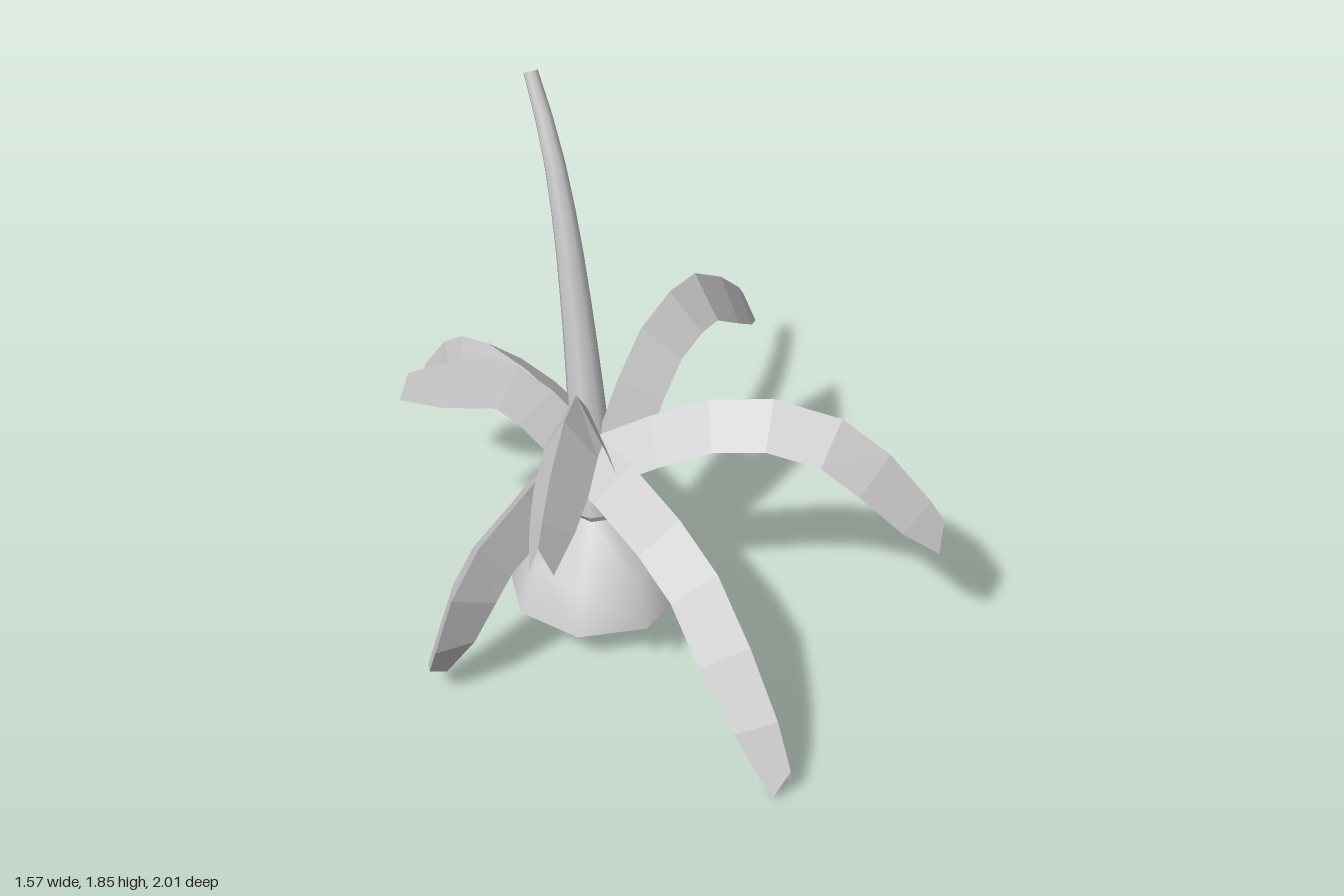
import * as THREE from 'three';

const smooth = new THREE.MeshStandardMaterial({ color: 0xcccccc, side: THREE.DoubleSide });
const faceted = new THREE.MeshStandardMaterial({ color: 0xcccccc, side: THREE.DoubleSide, flatShading: true });
const crown = new THREE.Vector3(-0.06, 0.735, -0.09); // where all leaves meet

// Roof-shaped leaf: midrib given as [distance from crown, height, optional sideways sway],
// dropA / dropB are the angles (degrees) by which the two halves fold down.
function leafGeometry({ dir, rib, dropA, dropB, width = 0.175 }) {
  const out = new THREE.Vector3(dir[0], 0, dir[1]).normalize();
  const side = new THREE.Vector3(out.z, 0, -out.x);
  const points = rib.map(([r, y, sway = 0]) =>
    new THREE.Vector3(crown.x, y, crown.z).addScaledVector(out, r).addScaledVector(side, sway));
  const last = points.length - 1;
  const positions = [];
  const index = [];
  points.forEach((p, i) => {
    const tangent = points[Math.min(i + 1, last)].clone().sub(points[Math.max(i - 1, 0)]).normalize();
    const normal = tangent.clone().cross(side).normalize();
    // narrow towards a notched tip
    const w = width * (i === last ? 0.45 : i === last - 1 ? 0.83 : 1);
    const edge = (sign, drop) => {
      const a = THREE.MathUtils.degToRad(drop);
      return p.clone()
        .addScaledVector(side, sign * w * Math.cos(a))
        .addScaledVector(normal, -w * Math.sin(a))
        .addScaledVector(tangent, i === last ? 0.075 : 0);
    };
    for (const v of [edge(-1, dropB), p, edge(1, dropA)]) positions.push(v.x, v.y, v.z);
    if (i < last) {
      for (let k = 0; k < 2; k++) {
        const a = i * 3 + k;
        index.push(a, a + 1, a + 4, a, a + 4, a + 3);
      }
    }
  });
  const g = new THREE.BufferGeometry();
  g.setAttribute('position', new THREE.Float32BufferAttribute(positions, 3));
  g.setIndex(index);
  g.computeVertexNormals();
  return g;
}

const leaves = [
  { name: 'frontLeaf', dir: [0, 1], dropA: 70, dropB: 38,
    rib: [[0, 0.74], [0.2, 0.735], [0.47, 0.69], [0.68, 0.61], [0.86, 0.44], [1.015, 0.25], [1.09, 0.1]] },
  { name: 'frontLeftLeaf', dir: [0.717, 0.697], dropA: 68, dropB: 42,
    rib: [[0, 0.73], [0.17, 0.83], [0.36, 0.92], [0.57, 0.95], [0.79, 0.9], [0.95, 0.78], [1.09, 0.61], [1.135, 0.54]] },
  { name: 'frontRightLeaf', dir: [-0.727, 0.687], dropA: 56, dropB: 64,
    rib: [[0, 0.73], [0.13, 0.93], [0.275, 1.085], [0.43, 1.095], [0.605, 1.02], [0.72, 0.92], [0.765, 0.86]] },
  { name: 'backLeftLeaf', dir: [0.918, -0.397], dropA: 72, dropB: 47,
    rib: [[0, 0.73], [0.12, 0.88], [0.26, 1.0], [0.435, 1.045], [0.59, 1.03], [0.76, 0.92], [0.88, 0.81], [0.91, 0.77]] },
  { name: 'backLeaf', dir: [-0.134, -0.991], dropA: 70, dropB: 42,
    rib: [[0, 0.73], [0.2, 0.77], [0.36, 0.8], [0.56, 0.8], [0.7, 0.755], [0.8, 0.68], [0.88, 0.57], [0.915, 0.525]] },
  { name: 'backRightLeaf', dir: [-0.6, -0.8], dropA: 76, dropB: 42,
    rib: [[0, 0.73], [0.15, 0.87], [0.27, 0.94], [0.36, 0.95], [0.45, 0.93], [0.59, 0.86], [0.66, 0.82]] },
  { name: 'rightLeaf', dir: [-0.97, 0.24], dropA: 75, dropB: 50,
    rib: [[0, 0.74], [0.22, 0.735], [0.354, 0.7, 0.015], [0.56, 0.6, 0.01], [0.68, 0.45], [0.733, 0.25, -0.03], [0.72, 0.14, -0.075]] },
];

// Curved stem that thins towards its top
function stemGeometry(curve, rBottom, rTop, rows, sides) {
  const g = new THREE.TubeGeometry(curve, rows, 1, sides, false);
  const pos = g.attributes.position;
  const v = new THREE.Vector3();
  for (let i = 0; i < pos.count; i++) {
    const t = Math.floor(i / (sides + 1)) / rows;
    const c = curve.getPointAt(t);
    v.fromBufferAttribute(pos, i).sub(c).multiplyScalar(THREE.MathUtils.lerp(rBottom, rTop, t)).add(c);
    pos.setXYZ(i, v.x, v.y, v.z);
  }
  return g;
}

export function createModel() {
  const group = new THREE.Group();
  const add = (name, geometry, material) => {
    const mesh = new THREE.Mesh(geometry, material);
    mesh.name = name;
    group.add(mesh);
    return mesh;
  };

  // Open eight-sided bell at the foot
  const profile = [[0.3, 0.12], [0.24, 0.275], [0.077, 0.43]].map(([r, y]) => new THREE.Vector2(r, y));
  add('base', new THREE.LatheGeometry(profile, 8), smooth).position.set(-0.065, 0, -0.095);

  // Stem leaning to the back, open at its top
  const curve = new THREE.CatmullRomCurve3([
    [-0.065, 0.43, -0.1], [-0.06, 0.57, -0.122], [-0.055, 0.72, -0.15], [-0.04, 1.0, -0.215],
    [-0.02, 1.4, -0.328], [-0.008, 1.65, -0.432], [-0.002, 1.842, -0.547],
  ].map(p => new THREE.Vector3(...p)));
  add('stem', stemGeometry(curve, 0.077, 0.024, 10, 8), smooth);

  // Ring of drooping leaves
  for (const leaf of leaves) add(leaf.name, leafGeometry(leaf), faceted);
  return group;
}
